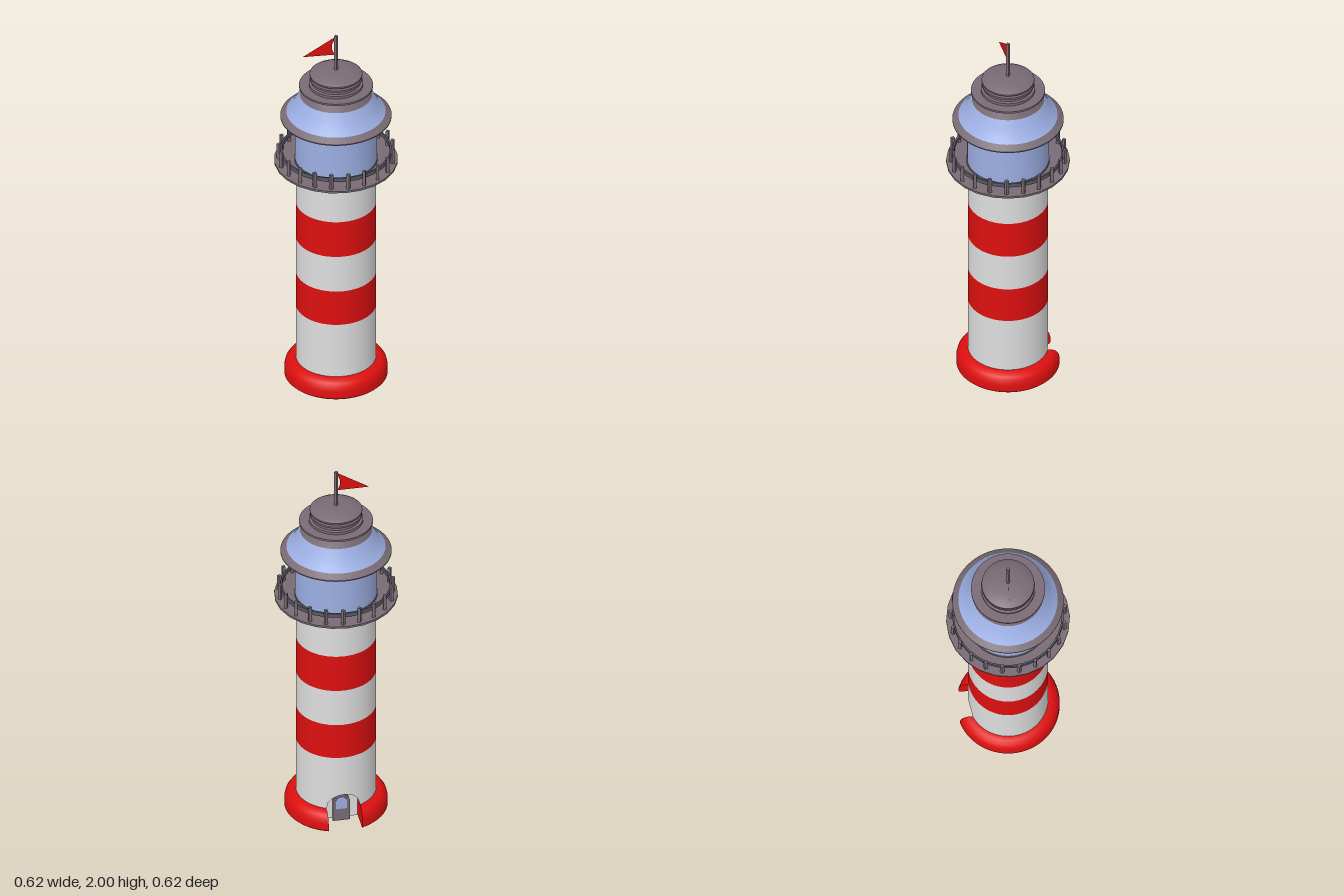
import * as THREE from 'three';
import { toCreasedNormals } from 'three/addons/utils/BufferGeometryUtils.js';

const mat = (name, color, side = THREE.FrontSide) => {
  const m = new THREE.MeshStandardMaterial({ color, side });
  m.name = name;
  return m;
};

export function createModel() {
  const model = new THREE.Group();
  model.name = 'lighthouse';
  const white = mat('white', 0xdedede, THREE.DoubleSide);
  const red = mat('red', 0xdd0f0f, THREE.DoubleSide);
  const trim = mat('trim', 0x796b74);
  const dark = mat('dark rail', 0x565a66, THREE.DoubleSide);
  const blue = mat('glass blue', 0x9cafe3);

  const add = (name, geometry, material, parent = model) => {
    const mesh = new THREE.Mesh(geometry, material);
    mesh.name = name;
    parent.add(mesh);
    return mesh;
  };
  const lathe = (profile, segments = 64) =>
    new THREE.LatheGeometry(profile.map(([r, y]) => new THREE.Vector2(r, y)), segments);
  const turned = (name, profile, material, segments) =>
    add(name, toCreasedNormals(lathe(profile, segments), 0.6), material);
  // Apply a rule to every vertex
  const warp = (geometry, rule) => {
    const p = geometry.attributes.position;
    const v = new THREE.Vector3();
    for (let i = 0; i < p.count; i++) {
      v.fromBufferAttribute(p, i);
      rule(v);
      p.setXYZ(i, v.x, v.y, v.z);
    }
    geometry.computeVertexNormals();
    return geometry;
  };

  // Doorway measures: the opening sits at the back (-z)
  const R = 0.2, SEG = 128, STEP = (2 * Math.PI) / SEG;
  const W = R * Math.sin(9 * STEP);
  const BACK = -0.12, SPRING = 0.11;
  const archY = (x) => SPRING + Math.sqrt(Math.max(0, W * W - x * x));

  // Rounded plinth, with a square notch cut for the door
  const inner = Math.hypot(W, BACK);
  const plinth = [[inner, 0.01], [0.25, 0.01], [0.257, 0.017], [0.257, 0.055],
    [0.252, 0.078], [0.24, 0.096], [0.222, 0.108], [0.2, 0.112], [inner, 0.112]];
  const notched = warp(lathe([[0, 0.01], ...plinth], 96), (v) => {
    const r = Math.hypot(v.x, v.z);
    if (r < 0.001) { v.z = BACK; return; }
    const a = Math.atan2(v.x, v.z);
    v.userPhi = a;
  });
  {
    // Columns are stored one after another, so the column gives the angle
    const p = notched.attributes.position, rows = plinth.length + 1;
    for (let i = 0; i < p.count; i++) {
      const row = i % rows;
      if (row === 0) continue;
      const r = plinth[row - 1][0];
      const phi = (Math.floor(i / rows) / 96 * 2 - 1) * (Math.PI - Math.asin(W / r));
      p.setXYZ(i, r * Math.sin(phi), p.getY(i), r * Math.cos(phi));
    }
  }
  add('plinth', toCreasedNormals(notched, 0.6), red);
  const cut = new THREE.Shape(plinth.map(([r, y]) => new THREE.Vector2(-Math.sqrt(r * r - W * W), y)));
  for (const s of [-1, 1]) {
    add('plinthCutFace', new THREE.ShapeGeometry(cut).rotateY(-Math.PI / 2), red).position.x = s * W;
  }

  // Tower: striped bands, the lowest arched over the doorway
  const bands = [0.11, 0.418, 0.615, 0.82, 1.025, 1.24];
  for (let i = 0; i < bands.length - 1; i++) {
    const g = lathe([[R, bands[i]], [R, bands[i + 1]]], SEG);
    if (i === 0) warp(g, (v) => { if (v.y < 0.2 && v.z < 0 && Math.abs(v.x) < W) v.y = archY(v.x); });
    const n = g.attributes.normal, p = g.attributes.position;
    for (let k = 0; k < p.count; k++) n.setXYZ(k, p.getX(k) / R, 0, p.getZ(k) / R);
    add(i % 2 ? 'redBand' : 'whiteBand', g, i % 2 ? red : white);
  }

  // Doorway: arched reveal, back wall, door and its pane
  add('doorReveal', warp(new THREE.PlaneGeometry(1, 1, 18, 1), (v) => {
    const x = R * Math.sin(v.x * 18 * STEP);
    v.set(x, archY(x), v.y > 0 ? -Math.sqrt(R * R - x * x) : BACK);
  }), white);
  const arch = (w, y0, spring) => {
    const s = new THREE.Shape();
    s.moveTo(-w, y0);
    s.lineTo(w, y0);
    s.lineTo(w, spring);
    s.absarc(0, spring, w, 0, Math.PI, false);
    return s;
  };
  add('doorwayBack', new THREE.ShapeGeometry(arch(W, 0.01, SPRING)), white).position.z = BACK;
  const plate = (name, shape, depth, z, material) =>
    add(name, new THREE.ExtrudeGeometry(shape, { depth, bevelEnabled: false }), material).position.z = z;
  plate('door', arch(0.043, 0, 0.11), 0.015, BACK - 0.015, trim);
  plate('doorPane', arch(0.028, 0.07, 0.112), 0.004, BACK - 0.018, blue);

  // Gallery: collar, deck, brackets, posts and rail
  turned('galleryCollar', [[0.2, 1.23], [0.208, 1.23], [0.212, 1.265]], trim);
  turned('galleryDeck', [[0.19, 1.265], [0.308, 1.265], [0.308, 1.276], [0.19, 1.276]], trim, 24);
  const bracket = new THREE.Shape([[0.195, 1.235], [0.215, 1.235], [0.26, 1.266], [0.195, 1.266]]
    .map(([x, y]) => new THREE.Vector2(x, y)));
  const bracketGeo = new THREE.ExtrudeGeometry(bracket, { depth: 0.03, bevelEnabled: false })
    .translate(0, 0, -0.015);
  for (let i = 0; i < 12; i++) {
    add('galleryBracket', bracketGeo, trim).rotation.y = (i * Math.PI) / 6;
  }
  const postGeo = new THREE.CylinderGeometry(0.011, 0.011, 0.085, 4).toNonIndexed();
  postGeo.computeVertexNormals();
  for (let i = 0; i < 21; i++) {
    const a = (i * 2 * Math.PI) / 21;
    const post = add('railingPost', postGeo, trim);
    post.position.set(0.284 * Math.cos(a), 1.3175, 0.284 * Math.sin(a));
    post.rotation.y = -a;
  }
  turned('railing', [[0.268, 1.312], [0.277, 1.312], [0.277, 1.334], [0.268, 1.334], [0.268, 1.312]], dark, 42);

  // Lantern room and its eave
  turned('lanternSill', [[0.207, 1.27], [0.207, 1.285], [0.19, 1.285]], trim);
  turned('lanternGlass', [[0.204, 1.28], [0.204, 1.5]], blue);
  turned('lanternCornice', [[0.2, 1.49], [0.212, 1.49], [0.214, 1.508], [0.225, 1.508], [0.225, 1.53]], trim);

  // Flared roof: trim eave, blue field, trim shoulder
  turned('roofEave', [[0.2, 1.527], [0.277, 1.527], [0.277, 1.533], [0.247, 1.556]], trim);
  turned('roofField', [[0.247, 1.556], [0.226, 1.578], [0.203, 1.615], [0.18, 1.658]], blue);
  turned('roofShoulder', [[0.18, 1.658], [0.155, 1.706]], trim);
  turned('roofFlange', [[0.14, 1.703], [0.184, 1.703], [0.184, 1.713], [0.12, 1.713]], trim);
  turned('capNeck', [[0.135, 1.71], [0.135, 1.727], [0.122, 1.73], [0.122, 1.745],
    [0.13, 1.747], [0.13, 1.757], [0.118, 1.76], [0.118, 1.772]], trim);
  turned('cap', [[0.11, 1.768], [0.131, 1.77], [0.131, 1.778], [0.108, 1.791], [0.07, 1.799], [0, 1.802]], trim);

  // Flagpole and pennant
  const pole = new THREE.CylinderGeometry(0.01, 0.01, 0.21, 4).toNonIndexed();
  pole.computeVertexNormals();
  add('flagpole', pole, trim).position.y = 1.895;
  const pennant = new THREE.Shape();
  pennant.moveTo(0, 1.996);
  pennant.lineTo(-0.168, 1.889);
  pennant.lineTo(-0.005, 1.889);
  pennant.quadraticCurveTo(-0.04, 1.94, 0, 1.985);
  add('pennant', new THREE.ShapeGeometry(pennant), red);
  return model;
}
